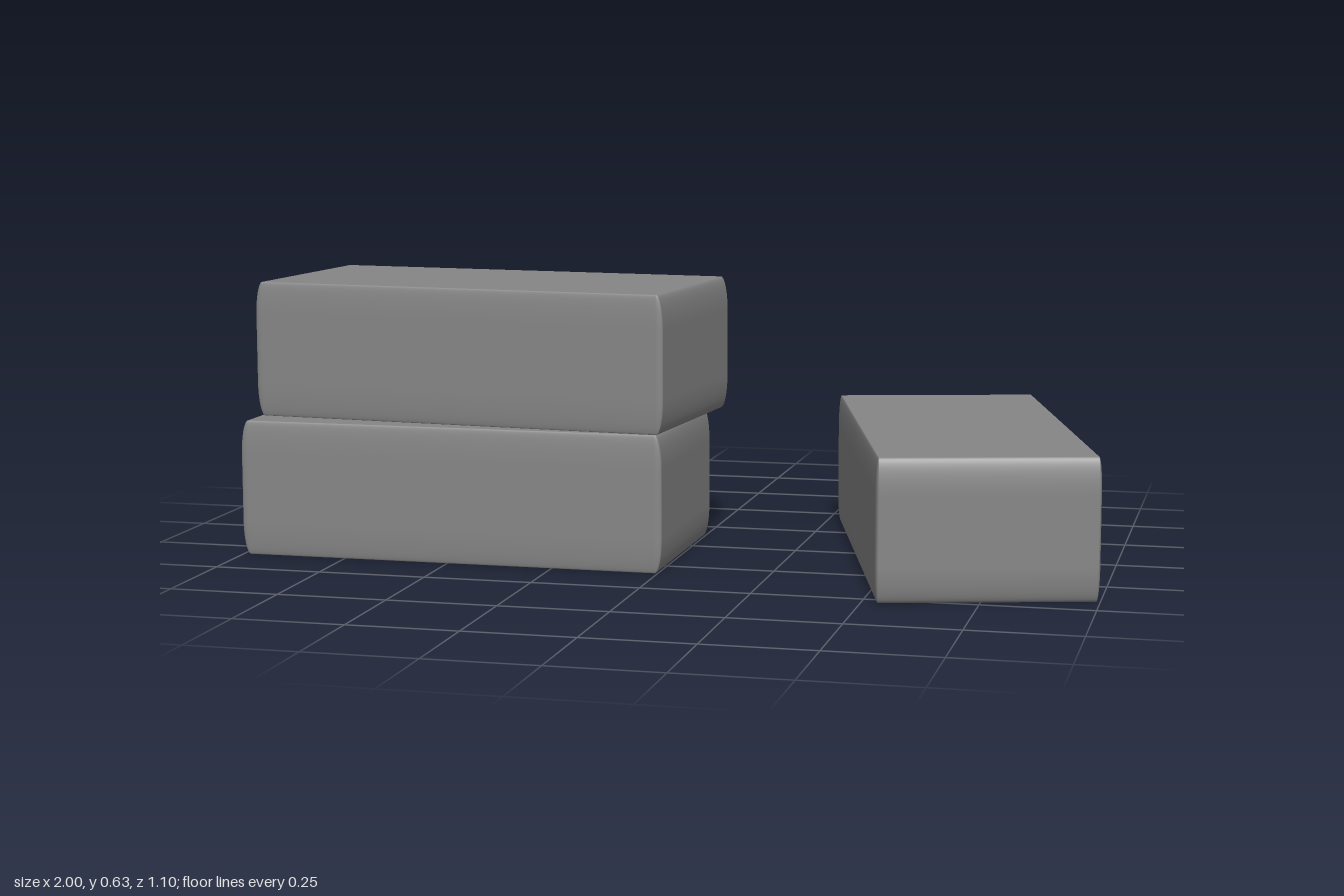
import * as THREE from 'three';
import { RoundedBoxGeometry } from 'three/addons/geometries/RoundedBoxGeometry.js';

const LENGTH = 1.01, HEIGHT = 0.316, WIDTH = 0.485;

// Brick with elliptical edges: a unit-radius rounded box stretched along each axis,
// so the short ends bulge a little while the long sides stay nearly flat
function brickGeometry() {
  const rx = 0.017, ry = 0.08, rz = 0.007;
  const geometry = new RoundedBoxGeometry(LENGTH / rx, HEIGHT / ry, WIDTH / rz, 12, 1);
  geometry.scale(rx, ry, rz);
  return geometry;
}

export function createModel() {
  const group = new THREE.Group();
  group.name = 'bricks';
  const geometry = brickGeometry();
  const material = new THREE.MeshStandardMaterial({ color: 0x868686 });

  // Two stacked bricks, the upper one slightly turned, and one lying apart
  const bricks = [
    { name: 'lowerBrick', x: -0.495, z: 0.102, level: 0, turn: 0 },
    { name: 'upperBrick', x: -0.469, z: 0.059, level: 1, turn: -5 },
    { name: 'looseBrick', x: 0.637, z: 0, level: 0, turn: -75 },
  ];
  for (const { name, x, z, level, turn } of bricks) {
    const brick = new THREE.Mesh(geometry, material);
    brick.name = name;
    brick.position.set(x, HEIGHT * (level + 0.5), z);
    brick.rotation.y = THREE.MathUtils.degToRad(turn);
    group.add(brick);
  }
  return group;
}
